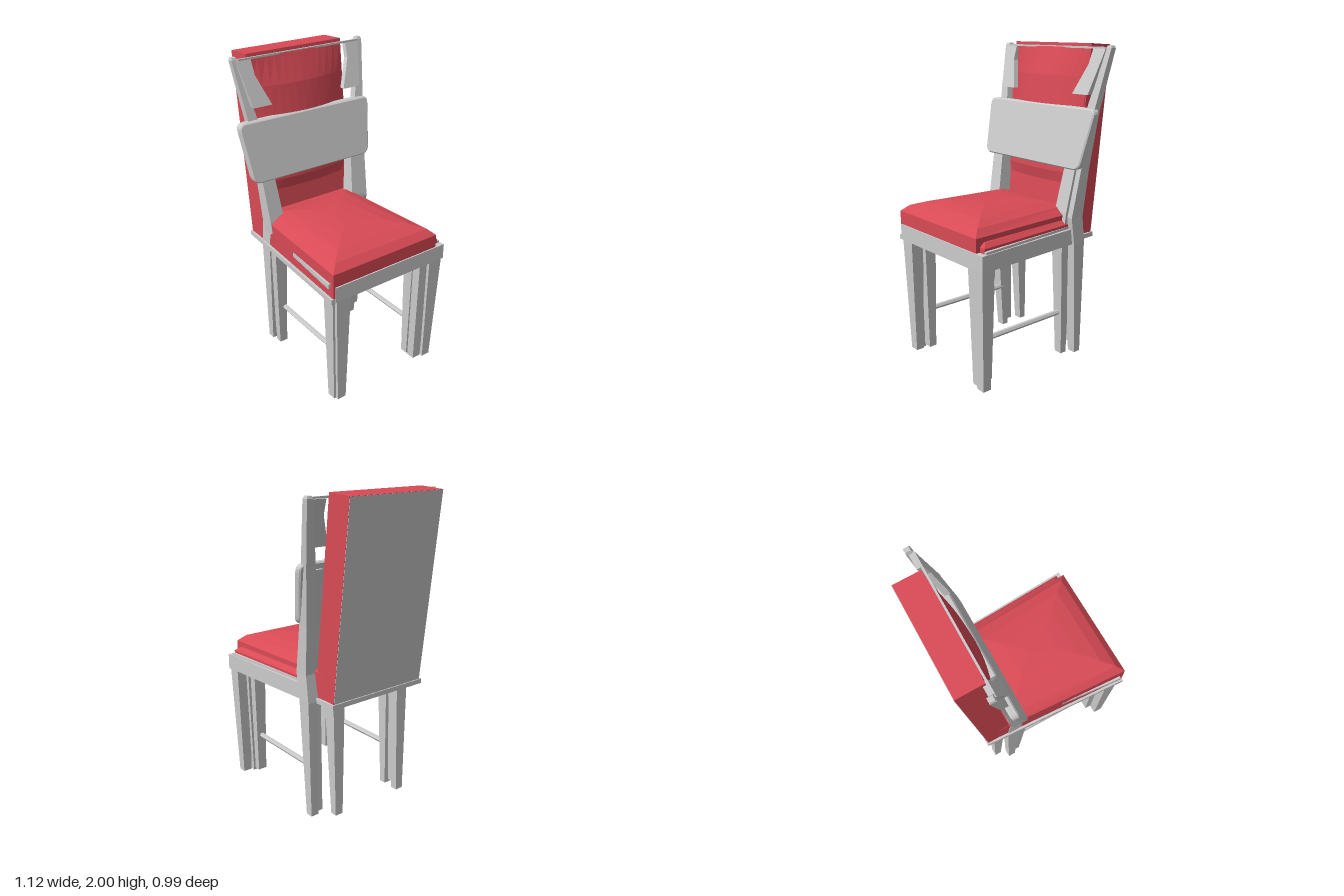
import * as THREE from 'three';

const grey = new THREE.MeshStandardMaterial({ color: 0xcccccc, flatShading: true });
const red = new THREE.MeshStandardMaterial({ color: 0xd84a55, flatShading: true });

// Skin rings of [x, y, z] points, listed from bottom to top, each counter-clockwise from above
function loft(rings) {
  const pos = [];
  const tri = (a, b, c) => pos.push(...a, ...b, ...c);
  const n = rings[0].length;
  for (let r = 0; r < rings.length - 1; r++) {
    for (let i = 0; i < n; i++) {
      const j = (i + 1) % n, lo = rings[r], hi = rings[r + 1];
      tri(lo[i], lo[j], hi[j]);
      tri(lo[i], hi[j], hi[i]);
    }
  }
  const first = rings[0], last = rings[rings.length - 1];
  for (let i = 1; i < n - 1; i++) {
    tri(last[0], last[i], last[i + 1]);
    tri(first[0], first[i + 1], first[i]);
  }
  const g = new THREE.BufferGeometry();
  g.setAttribute('position', new THREE.Float32BufferAttribute(pos, 3));
  g.computeVertexNormals();
  return g;
}

// Four-sided ring, tapering in z from half-width hb at x0 to hf at x1
const trapezoid = (y, x0, x1, hb, hf, cz, inset = 0) => [
  [x1 - inset, y, cz + hf - inset], [x1 - inset, y, cz - hf + inset],
  [x0 + inset, y, cz - hb + inset], [x0 + inset, y, cz + hb - inset]
];

// Flat board drawn in (z, y), leaning backwards by `lean` per unit of height above y0
function board(shape, x, y0, lean, depth, bevel = 0) {
  const g = new THREE.ExtrudeGeometry(shape, {
    depth: depth - 2 * bevel, bevelEnabled: bevel > 0, bevelSize: bevel,
    bevelThickness: bevel, bevelOffset: -bevel, bevelSegments: 1, curveSegments: 5
  });
  g.rotateY(-Math.PI / 2);
  const p = g.attributes.position;
  for (let i = 0; i < p.count; i++) p.setX(i, p.getX(i) + x - bevel - lean * (p.getY(i) - y0));
  g.computeVertexNormals();
  return g;
}

const polygon = pts => new THREE.Shape(pts.map(p => new THREE.Vector2(...p)));

// Polygon with its corners rounded by radius r
function roundedPolygon(pts, r) {
  const v = pts.map(p => new THREE.Vector2(...p));
  const s = new THREE.Shape();
  v.forEach((c, i) => {
    const prev = v[(i + v.length - 1) % v.length], next = v[(i + 1) % v.length];
    const a = c.clone().add(prev.clone().sub(c).setLength(r));
    const b = c.clone().add(next.clone().sub(c).setLength(r));
    if (i === 0) s.moveTo(a.x, a.y); else s.lineTo(a.x, a.y);
    s.quadraticCurveTo(c.x, c.y, b.x, b.y);
  });
  s.closePath();
  return s;
}

export function createModel() {
  const model = new THREE.Group();
  const add = (name, geometry, material = grey) => {
    const m = new THREE.Mesh(geometry, material);
    m.name = name;
    model.add(m);
    return m;
  };

  // Mirrored pair of tapered posts; rows are [y, x0, x1, inner z, outer z]
  const postPair = (name, rows, cz) => {
    for (const s of [1, -1]) {
      add(name + (s > 0 ? 'Left' : 'Right'), loft(rows.map(([y, x0, x1, zi, zo]) =>
        trapezoid(y, x0, x1, (zo - zi) / 2, (zo - zi) / 2, cz + s * (zi + zo) / 2))));
    }
  };

  // Upholstered chair: base board, seat cushion, thick back
  const ca = 0.022;
  add('baseBoard', loft([0.77, 0.8].map(y => trapezoid(y, -0.44, 0.55, 0.358, 0.408, ca))));
  add('seatCushion', loft([
    [0.8, 0], [0.96, 0], [1.0, 0.045], [1.025, 0.12], [1.04, 0.22], [1.046, 0.32]
  ].map(([y, inset]) => trapezoid(y, y > 0.97 ? -0.28 : -0.43, 0.548, 0.343, 0.393, ca, inset))), red);
  add('backCushion', loft([
    trapezoid(0.8, -0.43, -0.26, 0.347, 0.347, ca),
    [[-0.39, 2, ca + 0.347], [-0.39, 2, ca - 0.347], [-0.56, 1.99, ca - 0.347], [-0.56, 1.99, ca + 0.347]]
  ]), red);
  add('backCover', board(polygon([
    [ca - 0.346, 0.8], [ca + 0.346, 0.8], [ca + 0.346, 1.989], [ca - 0.346, 1.989]
  ]), -0.429, 0.8, 0.1092, 0.004));

  // Bowed front of the back cushion; rows are [y, x of edge, bow, half width]
  add('backPad', loft([
    [1.13, -0.29, 0.025, 0.28], [1.2, -0.285, 0.035, 0.3], [1.62, -0.345, 0.062, 0.33],
    [1.8, -0.365, 0.055, 0.335], [1.975, -0.39, 0.02, 0.335]
  ].map(([y, x, bow, h]) => {
    const ring = [];
    for (let i = 0; i <= 12; i++) {
      const t = 1 - i / 6;
      ring.push([x + bow * (1 - t * t), y, 0.015 + h * t]);
    }
    ring.push([x - 0.05, y, 0.015 - h], [x - 0.05, y, 0.015 + h]);
    return ring;
  })), red);

  postPair('thickRearLeg', [[0.02, -0.375, -0.33, 0.23, 0.285], [0.78, -0.37, -0.285, 0.215, 0.3]], ca);
  postPair('thickFrontLeg', [[0.02, 0.45, 0.51, 0.3, 0.36], [0.78, 0.44, 0.53, 0.29, 0.385]], ca);

  // Frame chair: apron, thin seat, tall splayed back posts
  const cb = -0.018;
  add('apron', loft([0.775, 0.875].map(y => trapezoid(y, -0.26, 0.556, 0.362, 0.42, cb))));
  add('innerSeat', loft([
    [0.87, 0], [0.905, 0], [0.93, 0.03]
  ].map(([y, inset]) => trapezoid(y, -0.2, 0.52, 0.345, 0.393, cb, inset))), red);
  postPair('tallPost', [
    [0.02, -0.29, -0.24, 0.32, 0.375], [0.78, -0.29, -0.2, 0.315, 0.39],
    [0.95, -0.27, -0.175, 0.325, 0.39], [1.25, -0.3, -0.23, 0.345, 0.405],
    [1.6, -0.345, -0.295, 0.37, 0.435], [1.975, -0.42, -0.38, 0.44, 0.48], [1.99, -0.415, -0.387, 0.446, 0.474]
  ], -0.012);
  postPair('apronLeg', [[0.02, 0.475, 0.53, 0.325, 0.385], [0.78, 0.465, 0.55, 0.31, 0.41]], cb);

  // Corner wings and thin top rail between the tall posts
  for (const s of [1, -1]) {
    const pts = [[0.45, 1.97], [0.35, 1.97], [0.345, 1.88], [0.27, 1.7], [0.4, 1.7]]
      .map(([z, y]) => [s * z - 0.005, y]);
    add('cornerWing' + (s > 0 ? 'Left' : 'Right'), board(polygon(pts), -0.28, 1.7, 0.34, 0.035));
  }
  add('topRail', new THREE.BoxGeometry(0.012, 0.012, 0.88)).position.set(-0.378, 1.975, -0.012);

  // Slat chair: seat board, stout posts, wide leaning slat, side stretchers
  add('seatBoard', loft([0.86, 0.89].map(y => trapezoid(y, -0.2, 0.52, 0.365, 0.43, 0))));
  postPair('slatPost', [
    [0, -0.235, -0.19, 0.27, 0.325], [0.78, -0.225, -0.145, 0.27, 0.36],
    [0.98, -0.26, -0.162, 0.275, 0.375], [1.26, -0.29, -0.215, 0.3, 0.39], [1.58, -0.335, -0.3, 0.33, 0.4]
  ], 0.01);
  postPair('slatFrontLeg', [[0.035, 0.405, 0.455, 0.265, 0.325], [0.78, 0.39, 0.47, 0.26, 0.345]], 0);
  add('backSlat', board(roundedPolygon([
    [-0.425, 1.25], [0.465, 1.25], [0.505, 1.62], [-0.475, 1.62]
  ], 0.05), -0.19, 1.25, 0.23, 0.05, 0.008));
  for (const s of [1, -1]) {
    const rod = new THREE.CylinderGeometry(0.017, 0.017, 0.62, 6).rotateZ(Math.PI / 2);
    add('stretcher' + (s > 0 ? 'Left' : 'Right'), rod).position.set(0.11, 0.295, s * 0.295);
  }
  return model;
}
